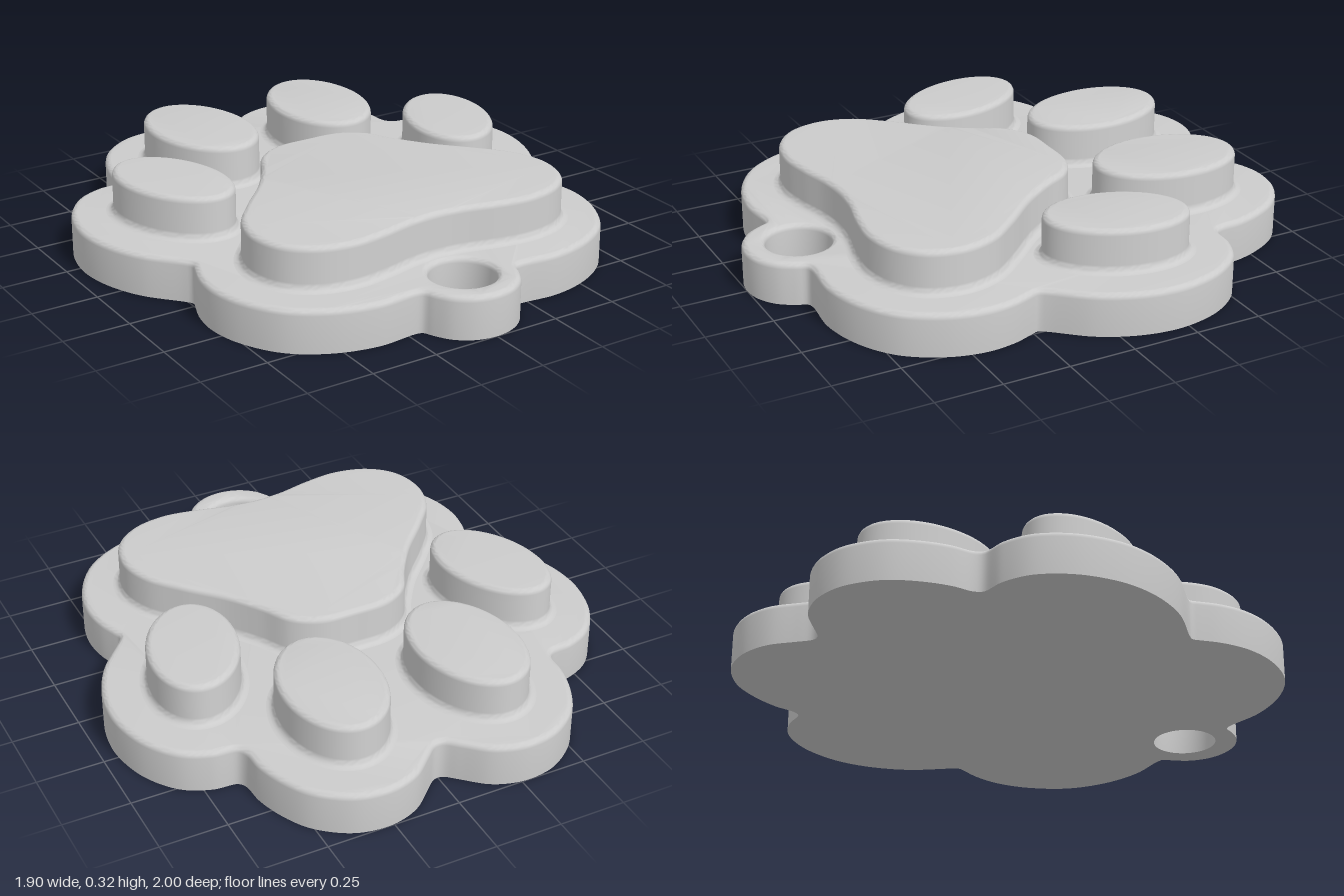
import * as THREE from 'three';
import { toCreasedNormals } from 'three/addons/utils/BufferGeometryUtils.js';

const BASE_TOP = 0.16, PAD_TOP = 0.32;
const material = new THREE.MeshStandardMaterial({ color: 0xcccccc });

// Smooth closed outline from a right half given as [x, z], mirrored in x
function mirroredOutline(half, count) {
  const left = half.filter(([x]) => x > 0).reverse().map(([x, z]) => [-x, z]);
  const pts = [...half, ...left].map(([x, z]) => new THREE.Vector3(x, -z, 0));
  const curve = new THREE.CatmullRomCurve3(pts, true, 'centripetal');
  curve.arcLengthDivisions = 2000;
  return curve.getSpacedPoints(count).slice(0, -1).map(p => new THREE.Vector2(p.x, p.y));
}

function ellipse(cx, cz, rx, rz, tilt, count) {
  return new THREE.EllipseCurve(cx, -cz, rx, rz, 0, Math.PI * 2, false, tilt)
    .getSpacedPoints(count).slice(0, -1);
}

// Quarter-round profile steps as [inset, height]
function topRound(height, r, steps = 5) {
  return Array.from({ length: steps + 1 }, (_, i) => {
    const a = (i / steps) * Math.PI / 2;
    return [r * (1 - Math.cos(a)), height - r + r * Math.sin(a)];
  });
}
function footFillet(height, r, steps = 5) {
  return Array.from({ length: steps + 1 }, (_, i) => {
    const a = (i / steps) * Math.PI / 2;
    return [-r * (1 - Math.sin(a)), height + r * (1 - Math.cos(a))];
  });
}

// Sweep an edge profile round an outline (and its holes), then cap it
function slab(outline, holes, profile, withBottom) {
  const loops = [outline, ...holes].map((loop, i) =>
    (THREE.ShapeUtils.area(loop) > 0) === (i === 0) ? loop : [...loop].reverse());
  const pos = [];
  const tri = (a, b, c) => pos.push(...a, ...b, ...c);
  const ring = (loop, [inset, h]) => loop.map((p, i) => {
    const n = loop.length;
    const t = loop[(i + 1) % n].clone().sub(loop[(i + n - 1) % n]).normalize();
    return [p.x - t.y * inset, p.y + t.x * inset, h];
  });
  const rings = loops.map(loop => profile.map(step => ring(loop, step)));
  for (const set of rings) {
    for (let k = 0; k < set.length - 1; k++) {
      const lo = set[k], hi = set[k + 1];
      lo.forEach((a, i) => {
        const j = (i + 1) % lo.length;
        tri(a, lo[j], hi[j]);
        tri(a, hi[j], hi[i]);
      });
    }
  }
  const cap = (level, flip) => {
    const edges = rings.map(set => set[level]);
    const flat = edges.map(e => e.map(p => new THREE.Vector2(p[0], p[1])));
    const all = edges.flat();
    for (const [a, b, c] of THREE.ShapeUtils.triangulateShape(flat[0], flat.slice(1))) {
      if (flip) tri(all[a], all[c], all[b]);
      else tri(all[a], all[b], all[c]);
    }
  };
  cap(profile.length - 1, false);
  if (withBottom) cap(0, true);
  const geo = new THREE.BufferGeometry();
  geo.setAttribute('position', new THREE.Float32BufferAttribute(pos, 3));
  geo.rotateX(-Math.PI / 2);
  return toCreasedNormals(geo, 0.7);
}

export function createModel() {
  const group = new THREE.Group();
  const add = (name, geometry) => {
    const mesh = new THREE.Mesh(geometry, material);
    mesh.name = name;
    group.add(mesh);
  };

  // Lobed base plate with the key ring tab and its hole
  const baseHalf = [
    [0, -0.85], [0.02, -0.855], [0.06, -0.89], [0.14, -0.96], [0.21, -0.99], [0.28, -1.0], [0.375, -0.985],
    [0.45, -0.945], [0.52, -0.88], [0.575, -0.78], [0.605, -0.68], [0.612, -0.6], [0.63, -0.572],
    [0.72, -0.56], [0.82, -0.51], [0.905, -0.395], [0.945, -0.25], [0.943, -0.14], [0.915, -0.03],
    [0.86, 0.08], [0.755, 0.205], [0.74, 0.23], [0.75, 0.26],
    [0.777, 0.34], [0.787, 0.45], [0.757, 0.58], [0.67, 0.72], [0.535, 0.81], [0.375, 0.85],
    [0.22, 0.84], [0.195, 0.847], [0.18, 0.88], [0.141, 0.941], [0.077, 0.985], [0, 1.0],
  ];
  add('basePlate', slab(mirroredOutline(baseHalf, 480),
    [ellipse(0, 0.797, 0.12, 0.12, 0, 64)],
    [[0, 0], ...topRound(BASE_TOP, 0.022)], true));

  // Raised pads flare into the plate and have softened top edges
  const padProfile = [...footFillet(BASE_TOP, 0.028), ...topRound(PAD_TOP, 0.022)];
  const palmHalf = [
    [0, -0.23], [0.135, -0.222], [0.23, -0.165], [0.295, -0.055], [0.38, 0.065], [0.505, 0.2],
    [0.597, 0.32], [0.63, 0.45], [0.595, 0.58], [0.505, 0.66], [0.375, 0.692], [0.24, 0.677],
    [0.11, 0.647], [0, 0.637],
  ];
  add('palmPad', slab(mirroredOutline(palmHalf, 240), [], padProfile, false));

  // Two toe pads on each side
  for (const [side, s] of [['left', 1], ['right', -1]]) {
    add(side + 'InnerToePad', slab(ellipse(s * 0.267, -0.563, 0.188, 0.279, -s * 0.105, 96), [], padProfile, false));
    add(side + 'OuterToePad', slab(ellipse(s * 0.607, -0.152, 0.167, 0.262, -s * 0.33, 96), [], padProfile, false));
  }
  return group;
}
